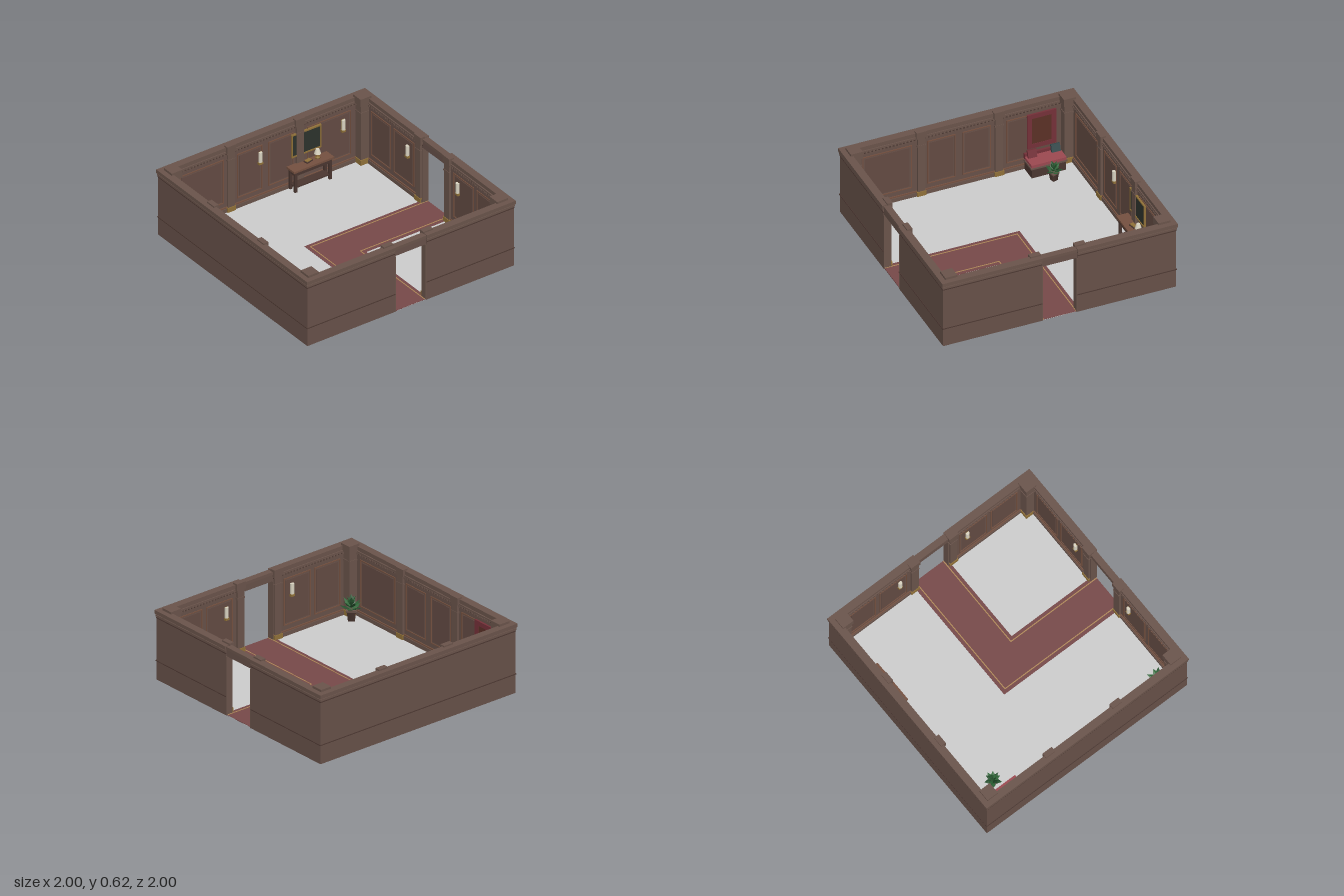
import * as THREE from 'three';

const mat = (color, extra = {}) => new THREE.MeshStandardMaterial({ color, ...extra });
const M = {
  wall: mat(0x665048), trim: mat(0x69534a), panel: mat(0x624a42), mould: mat(0x74503f),
  dark: mat(0x4a3630), gold: mat(0x8f7038), carpet: mat(0x764848), braid: mat(0xb08a58),
  floor: mat(0xcccccc), red: mat(0x9a4850), deepRed: mat(0x743038), teal: mat(0x35494c),
  glass: mat(0xd8d2c0), canvas: mat(0x2c322c), tapestry: mat(0x5a3026),
  leaf: mat(0x2f6638, { flatShading: true }), leafDark: mat(0x24502c, { flatShading: true }),
};

function add(parent, name, geo, material, x = 0, y = 0, z = 0) {
  const m = new THREE.Mesh(geo, material);
  m.name = name;
  m.position.set(x, y, z);
  parent.add(m);
  return m;
}

// Box given by its extents on each axis
function box(parent, name, material, x0, x1, y0, y1, z0, z1) {
  return add(parent, name, new THREE.BoxGeometry(x1 - x0, y1 - y0, z1 - z0), material,
    (x0 + x1) / 2, (y0 + y1) / 2, (z0 + z1) / 2);
}

function group(parent, name, x = 0, y = 0, z = 0) {
  const g = new THREE.Group();
  g.name = name;
  g.position.set(x, y, z);
  parent.add(g);
  return g;
}

// Rectangular moulding with an open middle, in the xy plane
function frame(parent, name, material, x0, x1, y0, y1, w, z, depth) {
  const rect = (s, a, b, c, d) => s.moveTo(a, c).lineTo(b, c).lineTo(b, d).lineTo(a, d).closePath();
  const shape = rect(new THREE.Shape(), x0, x1, y0, y1);
  shape.holes.push(rect(new THREE.Path(), x0 + w, x1 - w, y0 + w, y1 - w));
  return add(parent, name, new THREE.ExtrudeGeometry(shape, { depth, bevelEnabled: false }), material, 0, 0, z);
}

function addPanel(wall, x0, x1) {
  frame(wall, 'panelMoulding', M.mould, x0, x1, 0.09, 0.495, 0.008, -0.942, 0.008);
  box(wall, 'raisedPanel', M.panel, x0 + 0.02, x1 - 0.02, 0.11, 0.475, -0.945, -0.936);
}

function addPilaster(wall, x) {
  const p = group(wall, 'pilaster', x);
  box(p, 'shaft', M.trim, -0.032, 0.032, 0, 0.58, -0.955, -0.921);
  box(p, 'foot', M.gold, -0.04, 0.04, 0, 0.045, -0.955, -0.915);
  box(p, 'neck', M.trim, -0.037, 0.037, 0.47, 0.485, -0.955, -0.917);
  box(p, 'capital', M.trim, -0.045, 0.045, 0.55, 0.61, -0.96, -0.915);
}

function addSconce(wall, x) {
  const s = group(wall, 'sconce', x, 0, -0.928);
  box(s, 'backPlate', M.gold, -0.013, 0.013, 0.335, 0.44, -0.012, -0.004);
  box(s, 'bracket', M.gold, -0.019, 0.019, 0.33, 0.35, -0.01, 0.014);
  add(s, 'glass', new THREE.CylinderGeometry(0.016, 0.016, 0.09, 12), M.glass, 0, 0.395, 0.002);
}

// A wall runs along x at z = -1 with its inner face towards +z
function addWall(room, name, turn, door, pilasters, sconces, panels) {
  const w = group(room, name);
  w.rotation.y = turn;
  const runs = door ? [[-1, -0.15], [0.15, 1]] : [[-1, 1]];
  for (const [a, b] of runs) {
    const end = (v, reach) => Math.max(-reach, Math.min(reach, v));
    const strip = (part, material, reach, y0, y1, z0, z1) =>
      box(w, part, material, end(a, reach), end(b, reach), y0, y1, z0, z1);
    strip('wallBody', M.wall, 0.99, 0, 0.58, -0.99, -0.94);
    strip('chairRail', M.dark, 0.995, 0.16, 0.166, -0.995, -0.98);
    strip('cornice', M.trim, 1, 0.567, 0.598, -1, -0.935);
    strip('corniceStep', M.trim, 0.996, 0.545, 0.56, -0.996, -0.93);
    strip('corniceBead', M.dark, 0.993, 0.53, 0.537, -0.993, -0.935);
    strip('baseboard', M.trim, 0.94, 0, 0.038, -0.945, -0.925);
    strip('baseboardCap', M.mould, 0.94, 0.038, 0.05, -0.945, -0.931);
    // Dentils beneath the inner cornice
    for (let x = end(a, 0.92) + 0.012; x < end(b, 0.92); x += 0.03)
      box(w, 'dentil', M.trim, x - 0.007, x + 0.007, 0.53, 0.546, -0.94, -0.926);
  }
  if (door) {
    box(w, 'doorLintel', M.wall, -0.15, 0.15, 0.51, 0.568, -0.985, -0.94);
    box(w, 'doorCornice', M.trim, -0.15, 0.15, 0.568, 0.592, -0.99, -0.935);
    for (const s of [-1, 1])
      box(w, 'doorJamb', M.trim, s * 0.147 - 0.004, s * 0.147 + 0.004, 0, 0.51, -0.991, -0.932);
  }
  pilasters.forEach((x) => addPilaster(w, x));
  sconces.forEach((x) => addSconce(w, x));
  panels.forEach(([a, b]) => addPanel(w, a, b));
  return w;
}

function addPlant(room, x, z, size, turn) {
  const p = group(room, 'pottedPlant', x, 0.004, z);
  p.scale.setScalar(size);
  p.rotation.y = turn;
  const pot = add(p, 'pot', new THREE.CylinderGeometry(0.042, 0.032, 0.07, 4), M.dark, 0, 0.035, 0);
  pot.rotation.y = Math.PI / 4;
  const rim = add(p, 'potRim', new THREE.CylinderGeometry(0.048, 0.048, 0.013, 4), M.trim, 0, 0.072, 0);
  rim.rotation.y = Math.PI / 4;
  // Rings of leaves, each ring steeper and shorter
  const rings = [[5, 1.2, 0.082], [5, 0.8, 0.085], [4, 0.35, 0.08]];
  rings.forEach(([count, tilt, length], r) => {
    for (let i = 0; i < count; i++) {
      const geo = new THREE.SphereGeometry(1, 4, 2).scale(0.021, length / 2, 0.006)
        .translate(0, length / 2, 0).rotateX(tilt).rotateY((i + r * 0.5) / count * Math.PI * 2);
      add(p, 'leaf', geo, (i + r) % 2 ? M.leaf : M.leafDark, 0, 0.075 + r * 0.012, 0);
    }
  });
}

function addBench(room) {
  const b = group(room, 'bench');
  box(b, 'benchBase', M.dark, -0.925, -0.785, 0.004, 0.095, -0.84, -0.55);
  box(b, 'benchRail', M.trim, -0.93, -0.778, 0.085, 0.1, -0.852, -0.542);
  box(b, 'seatCushion', M.red, -0.928, -0.782, 0.1, 0.125, -0.845, -0.548);
  box(b, 'backRest', M.deepRed, -0.935, -0.915, 0.1, 0.15, -0.845, -0.548);
  for (const [z, m] of [[-0.8, M.teal], [-0.6, M.deepRed]]) {
    const c = add(b, 'pillow', new THREE.BoxGeometry(0.022, 0.065, 0.075), m, -0.895, 0.156, z);
    c.rotation.z = 0.3;
  }
}

function addConsole(room) {
  const t = group(room, 'consoleTable', 0.392, 0, -0.882);
  box(t, 'tableTop', M.mould, -0.192, 0.192, 0.19, 0.207, -0.05, 0.052);
  box(t, 'apron', M.dark, -0.175, 0.175, 0.155, 0.19, -0.045, 0.04);
  for (const x of [-0.165, 0.165]) for (const z of [-0.035, 0.03])
    box(t, 'leg', M.dark, x - 0.011, x + 0.011, 0.004, 0.19, z - 0.011, z + 0.011);
  box(t, 'lowerShelf', M.dark, -0.165, 0.165, 0.04, 0.052, -0.04, 0.035);
  const lamp = group(t, 'tableLamp', 0.08, 0.207, -0.015);
  const profile = [[0, 0], [0.022, 0], [0.02, 0.008], [0.007, 0.014], [0.012, 0.028], [0.004, 0.045], [0, 0.045]];
  add(lamp, 'lampBase', new THREE.LatheGeometry(profile.map(([x, y]) => new THREE.Vector2(x, y)), 12), M.gold);
  add(lamp, 'lampShade', new THREE.CylinderGeometry(0.015, 0.028, 0.042, 12), M.glass, 0, 0.06, 0);
  const book = group(t, 'book', -0.01, 0.207, -0.014);
  book.rotation.y = 0.25;
  box(book, 'bookCover', M.dark, -0.032, 0.032, 0, 0.009, -0.02, 0.02);
  box(book, 'bookFace', M.gold, -0.026, 0.026, 0.009, 0.014, -0.016, 0.016);
}

function addFloor(room) {
  box(room, 'floor', M.floor, -0.985, 0.985, 0.001, 0.004, -0.985, 0.985);
  // L-shaped ribbon joining the two doorways: outer corner a, inner corner b
  const ell = (name, material, a, b, y, depth) => {
    const s = new THREE.Shape([[a, -a], [0.985, -a], [0.985, -b], [b, -b], [b, -0.985], [a, -0.985]]
      .map(([x, v]) => new THREE.Vector2(x, v)));
    add(room, name, new THREE.ExtrudeGeometry(s, { depth, bevelEnabled: false }).rotateX(-Math.PI / 2), material, 0, y, 0);
  };
  ell('carpet', M.carpet, -0.175, 0.168, 0, 0.008);
  ell('carpetBraidOuter', M.braid, -0.146, -0.138, 0.007, 0.003);
  ell('carpetBraidInner', M.braid, 0.132, 0.14, 0.007, 0.003);
}

export function createModel() {
  const room = new THREE.Group();
  room.name = 'hall';
  addFloor(room);

  const solid = [[-0.82, -0.4], [-0.27, -0.03], [0.03, 0.27], [0.4, 0.82]];
  const doored = [[-0.83, -0.57], [-0.53, -0.26], [0.26, 0.53], [0.57, 0.83]];
  const back = addWall(room, 'backWall', 0, false, [-0.335, 0.325], [-0.055, 0.74], solid);
  const side = addWall(room, 'rightSideWall', Math.PI / 2, false, [0.335, -0.325], [], solid);
  addWall(room, 'frontWall', Math.PI, true, [-0.19, 0.19], [-0.33, 0.335], doored);
  addWall(room, 'leftSideWall', -Math.PI / 2, true, [-0.19, 0.19], [-0.335, 0.33], doored);

  // Painting over the console, hanging over the bench
  frame(back, 'pictureFrame', M.gold, 0.245, 0.53, 0.27, 0.48, 0.012, -0.94, 0.018);
  box(back, 'pictureCanvas', M.canvas, 0.25, 0.525, 0.275, 0.475, -0.94, -0.928);
  frame(side, 'hangingBorder', M.deepRed, 0.575, 0.82, 0.18, 0.5, 0.04, -0.94, 0.016);
  box(side, 'hangingCentre', M.tapestry, 0.61, 0.785, 0.21, 0.47, -0.94, -0.928);

  // Corner posts
  for (const sx of [-1, 1]) for (const sz of [-1, 1]) {
    const p = group(room, 'cornerPost', sx * 0.905, 0, sz * 0.905);
    box(p, 'postShaft', M.trim, -0.04, 0.04, 0, 0.58, -0.04, 0.04);
    box(p, 'postFoot', M.gold, -0.047, 0.047, 0, 0.05, -0.047, 0.047);
    box(p, 'postNeck', M.trim, -0.045, 0.045, 0.47, 0.485, -0.045, 0.045);
    box(p, 'postCapital', M.trim, -0.051, 0.051, 0.55, 0.617, -0.051, 0.051);
  }

  addBench(room);
  addConsole(room);
  addPlant(room, -0.7, -0.7, 0.95, 0.3);
  addPlant(room, -0.845, 0.82, 1.2, 0.9);
  return room;
}
